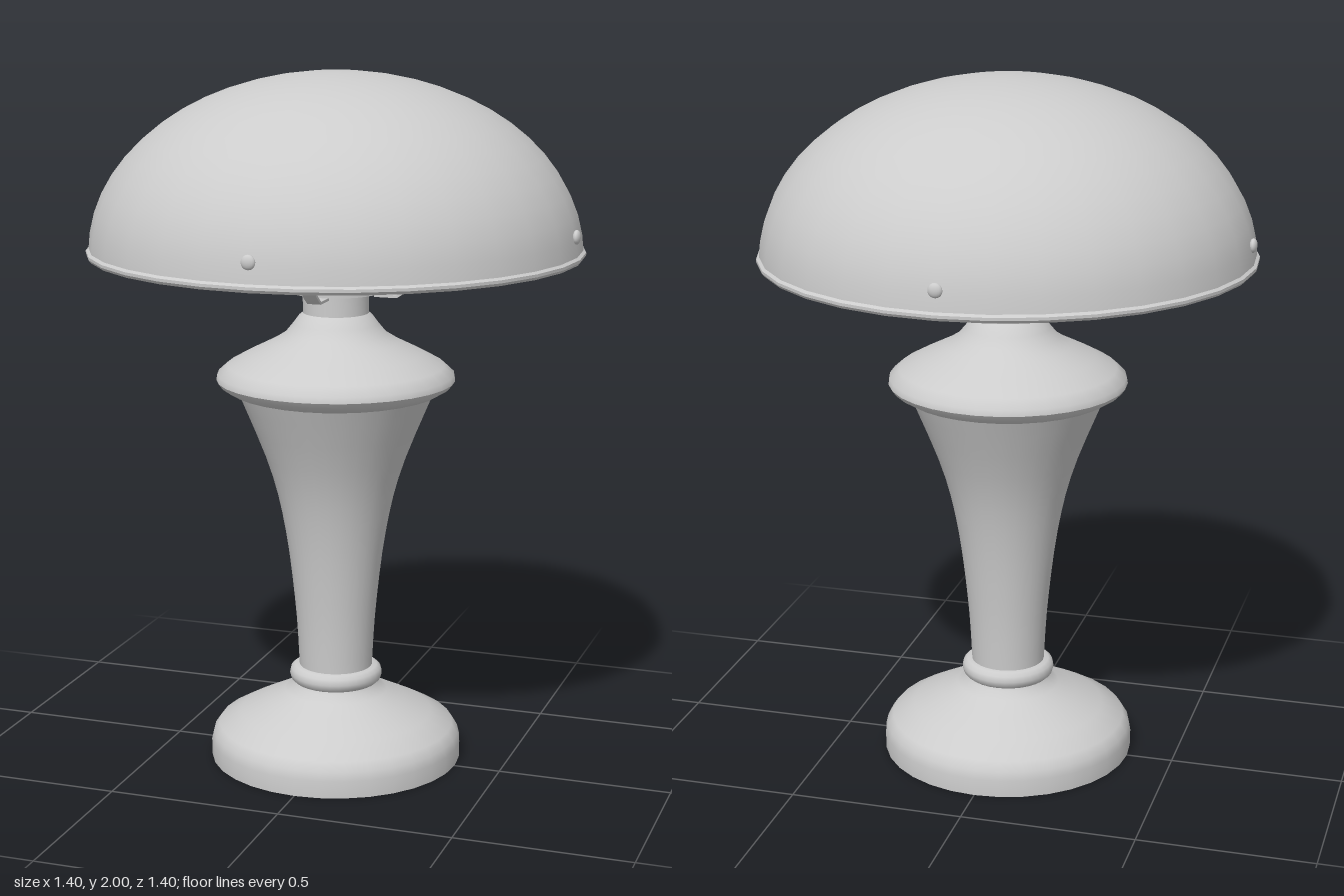
import * as THREE from 'three';
import { toCreasedNormals } from 'three/addons/utils/BufferGeometryUtils.js';

const SEGMENTS = 32;

export function createModel() {
  const lamp = new THREE.Group();
  lamp.name = 'tableLamp';
  const grey = new THREE.MeshStandardMaterial({ color: 0xcccccc });
  grey.name = 'light grey';

  const add = (name, geometry, parent = lamp) => {
    const mesh = new THREE.Mesh(geometry, grey);
    mesh.name = name;
    parent.add(mesh);
    return mesh;
  };
  // Turned part: profile of [radius, height], bottom to top on the outside
  const turned = (name, profile, crease = 0.6) => {
    const points = profile.map(([r, y]) => new THREE.Vector2(r, y));
    return add(name, toCreasedNormals(new THREE.LatheGeometry(points, SEGMENTS), crease));
  };
  // Smooth list of profile points through a few control points
  const smooth = (pts, n) => new THREE.SplineCurve(pts.map(([r, y]) => new THREE.Vector2(r, y)))
    .getPoints(n).map((p) => [p.x, p.y]);

  // Foot, collar and flared column
  turned('base', [[0, 0], [0.365, 0], [0.366, 0.05], [0.36, 0.075], [0.343, 0.1],
    [0.28, 0.135], [0.2, 0.175], [0.15, 0.2], [0.125, 0.218], [0.118, 0.235]]);
  turned('collar', [[0.1, 0.225], [0.12, 0.225], [0.131, 0.235], [0.135, 0.25],
    [0.131, 0.266], [0.12, 0.275], [0.1, 0.277]], 0.9);
  turned('column', smooth([[0.106, 0.27], [0.117, 0.45], [0.145, 0.68], [0.19, 0.87], [0.28, 1.095]], 14));

  // Bulging shoulder and neck
  turned('shoulder', [[0, 1.088], [0.27, 1.088], [0.3, 1.097], [0.33, 1.115], [0.341, 1.13],
    [0.338, 1.147], [0.31, 1.172], [0.25, 1.205], [0.18, 1.24], [0.145, 1.262],
    [0.122, 1.29], [0.105, 1.313], [0.094, 1.322]], 0.75);
  turned('neck', [[0.094, 1.315], [0.094, 1.39]]);
  turned('supportDisc', [[0, 1.384], [0.136, 1.384], [0.136, 1.398], [0, 1.398]]);

  // Bulb holder and bulb
  turned('socket', [[0.085, 1.395], [0.085, 1.5], [0.092, 1.505], [0.092, 1.525], [0.085, 1.53],
    [0.085, 1.55], [0.092, 1.555], [0.092, 1.575], [0.08, 1.582], [0, 1.582]]);
  turned('bulb', smooth([[0.076, 1.575], [0.08, 1.62], [0.104, 1.68], [0.115, 1.74],
    [0.1, 1.8], [0.06, 1.838], [0, 1.852]], 18), 1);

  // Hollow elliptical dome with a beaded rim
  const dome = (a, b) => Array.from({ length: 15 }, (_, i) => {
    const t = (i / 14) * Math.PI / 2;
    return [i === 14 ? 0 : a * Math.cos(t), 1.5 + b * Math.sin(t)];
  });
  turned('shade', [...dome(0.681, 0.488).reverse(), [0.684, 1.492], [0.695, 1.49],
    [0.701, 1.498], [0.701, 1.506], [0.693, 1.512], ...dome(0.693, 0.5).slice(1)]);

  // Four bent strap arms, each with a screw through the shade
  const path = [[0.12, 1.379], [0.185, 1.379], [0.215, 1.4], [0.255, 1.436], [0.3, 1.472],
    [0.35, 1.498], [0.41, 1.515], [0.5, 1.522], [0.59, 1.518], [0.664, 1.513], [0.668, 1.595]]
    .map(([x, y]) => new THREE.Vector2(x, y));
  const offset = (side) => path.map((p, i) => {
    const d = path[Math.min(i + 1, path.length - 1)].clone().sub(path[Math.max(i - 1, 0)]).normalize();
    return new THREE.Vector2(p.x - d.y * side, p.y + d.x * side);
  });
  const strap = new THREE.ExtrudeGeometry(
    new THREE.Shape([...offset(-0.004), ...offset(0.004).reverse()]),
    { depth: 0.04, bevelEnabled: false },
  ).translate(0, 0, -0.02);
  const strapGeometry = toCreasedNormals(strap, 0.6);
  const screwGeometry = new THREE.SphereGeometry(0.02, 16, 10).scale(0.55, 1, 1);
  const shankGeometry = new THREE.CylinderGeometry(0.008, 0.008, 0.04, 10).rotateZ(Math.PI / 2);

  for (let i = 0; i < 4; i++) {
    const arm = new THREE.Group();
    arm.name = `shadeArm${i + 1}`;
    arm.rotation.y = i * Math.PI / 2;
    add('strap', strapGeometry, arm);
    add('screwHead', screwGeometry, arm).position.set(0.69, 1.568, 0);
    add('screwShank', shankGeometry, arm).position.set(0.672, 1.568, 0);
    lamp.add(arm);
  }
  return lamp;
}
